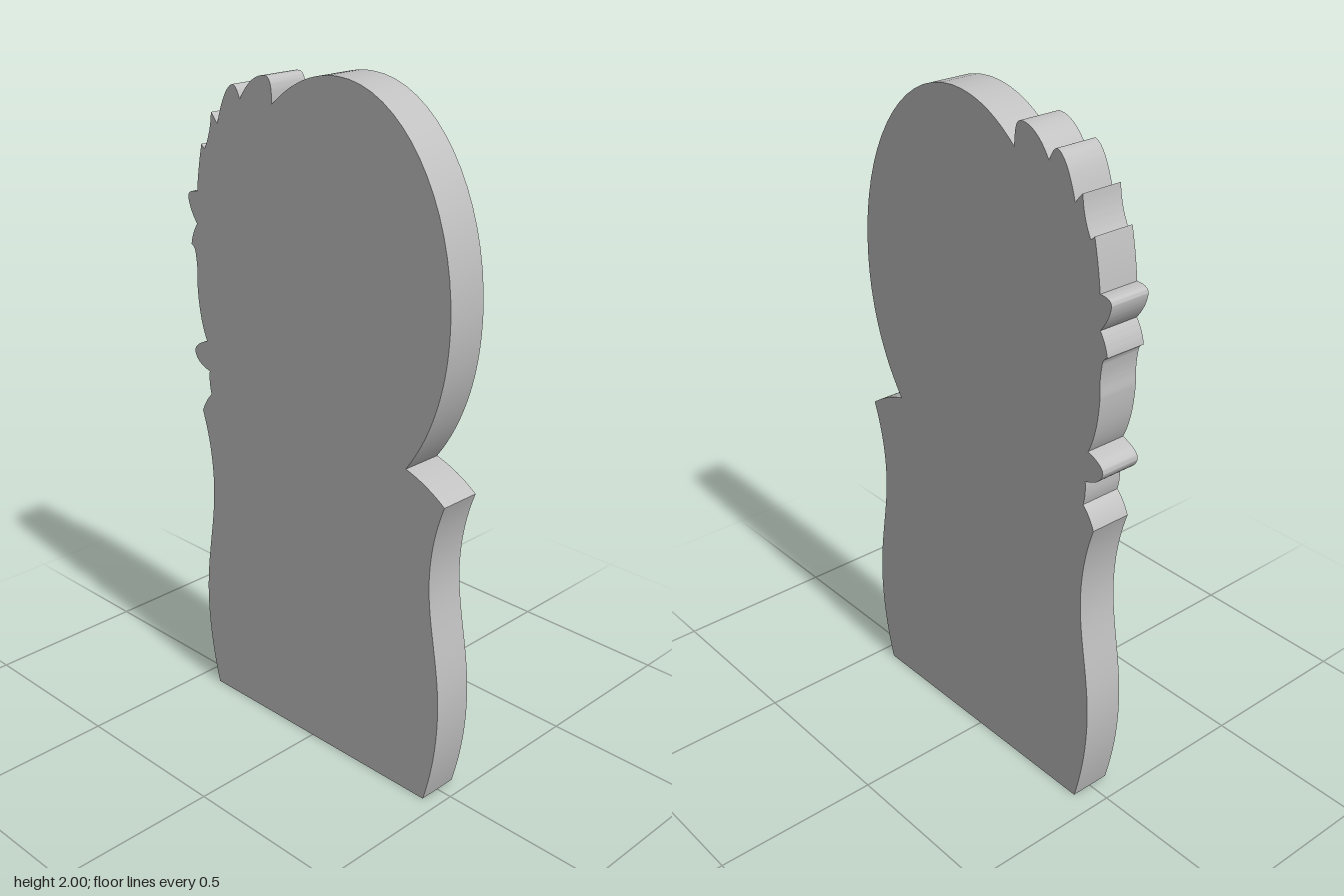
import * as THREE from 'three';
import { toCreasedNormals } from 'three/addons/utils/BufferGeometryUtils.js';

const DEPTH = 0.126;

// Outline of the bust, counter-clockwise from the bottom left.
// Each row continues the path: 2 numbers = line, 4 = quadratic, 6 = cubic.
const OUTLINE = [
  // base and right side of the body
  [0.45, 0],
  [0.48, 0.1, 0.495, 0.2, 0.495, 0.3],
  [0.495, 0.45, 0.45, 0.57, 0.45, 0.7],
  [0.45, 0.78, 0.465, 0.86, 0.495, 0.937],
  // shoulder and round back of the head
  [0.43, 0.985, 0.357, 1.005],
  [0.45, 1.13, 0.495, 1.28, 0.495, 1.44],
  [0.495, 1.75, 0.32, 2.0, 0.1, 2.0],
  [0.01, 2.0, -0.07, 1.965, -0.145, 1.897],
  // hair tufts
  [-0.14, 1.97, -0.17, 1.97],
  [-0.215, 1.97, -0.25, 1.93, -0.27, 1.895],
  [-0.285, 1.935, -0.3, 1.932],
  [-0.335, 1.92, -0.365, 1.815],
  [-0.378, 1.835, -0.39, 1.845],
  [-0.395, 1.785, -0.422, 1.738],
  [-0.435, 1.75],
  [-0.452, 1.68, -0.46, 1.61],
  // brow, nose and lip bumps
  [-0.5, 1.61, -0.5, 1.59],
  [-0.497, 1.555, -0.465, 1.515],
  [-0.487, 1.485, -0.493, 1.45],
  [-0.477, 1.445, -0.475, 1.42],
  [-0.468, 1.38, -0.473, 1.34],
  [-0.47, 1.23, -0.437, 1.165],
  [-0.495, 1.145, -0.493, 1.12],
  [-0.485, 1.085, -0.43, 1.073],
  [-0.435, 1.035, -0.425, 1.0],
  [-0.452, 0.975, -0.467, 0.937],
  // left side of the body
  [-0.44, 0.86, -0.427, 0.78, -0.427, 0.7],
  [-0.427, 0.57, -0.47, 0.45, -0.47, 0.3],
  [-0.47, 0.2, -0.455, 0.1, -0.428, 0],
];

export function createModel() {
  const grey = new THREE.MeshStandardMaterial({ color: 0xc0c0c0 });
  grey.name = 'plain grey';

  const shape = new THREE.Shape();
  shape.moveTo(-0.428, 0);
  for (const p of OUTLINE) {
    if (p.length === 2) shape.lineTo(...p);
    else if (p.length === 4) shape.quadraticCurveTo(...p);
    else shape.bezierCurveTo(...p);
  }

  // flat slab with smooth curved edges and sharp corners
  const extruded = new THREE.ExtrudeGeometry(shape, { depth: DEPTH, bevelEnabled: false, curveSegments: 16 });
  extruded.translate(0, 0, -DEPTH / 2);

  const slab = new THREE.Mesh(toCreasedNormals(extruded, 0.5), grey);
  slab.name = 'bustSilhouette';

  const model = new THREE.Group();
  model.name = 'bustCutout';
  model.add(slab);
  return model;
}
